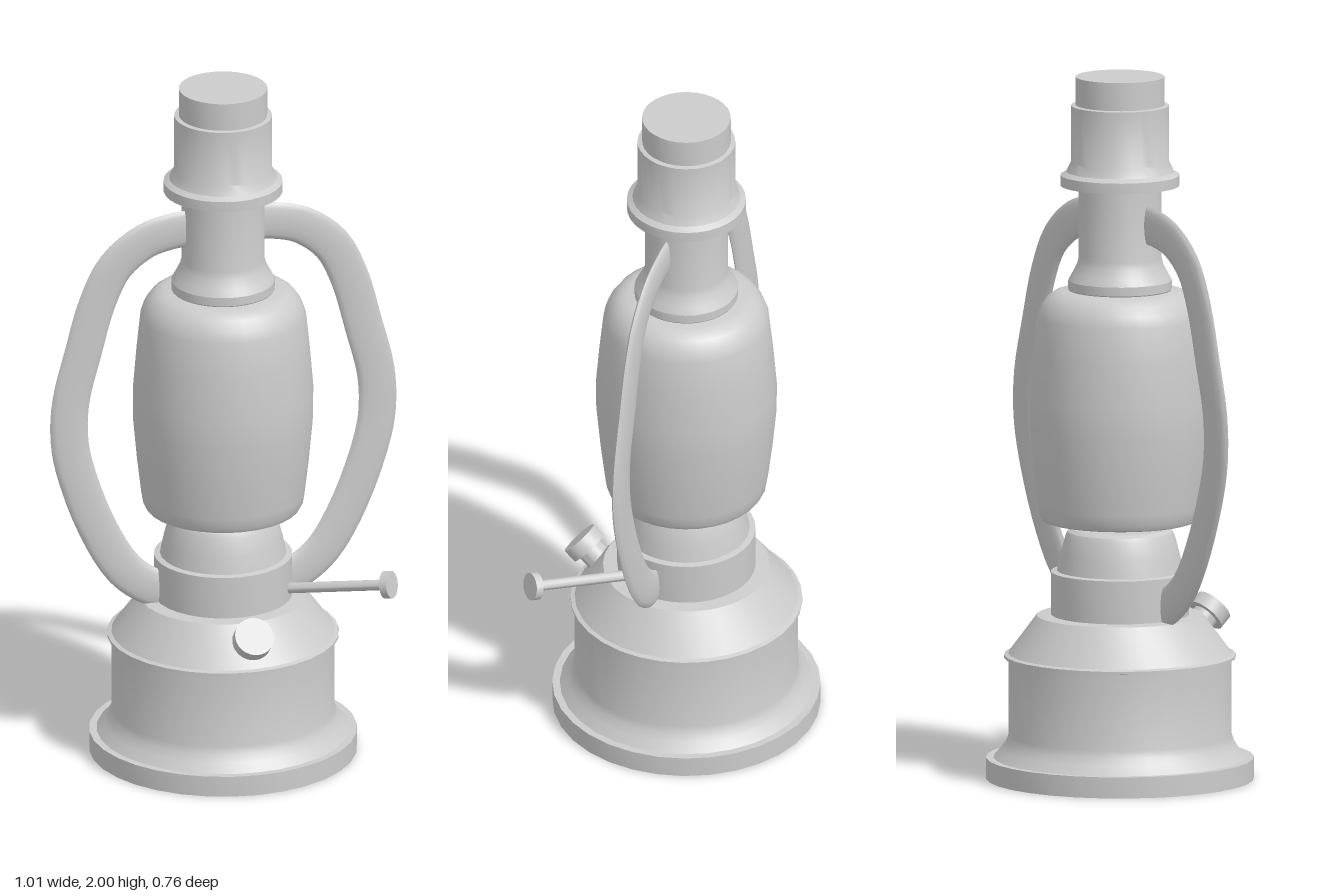
import * as THREE from 'three';
import { toCreasedNormals } from 'three/addons/utils/BufferGeometryUtils.js';

const material = new THREE.MeshStandardMaterial({ color: 0xcccccc });
const V = (x, y, z) => new THREE.Vector3(x, y, z);

function part(name, geometry) {
  const mesh = new THREE.Mesh(geometry, material);
  mesh.name = name;
  return mesh;
}

// Turned part from [radius, height] pairs, listed bottom to top
function turned(name, profile, crease = 0.5) {
  const points = profile.map(([r, y]) => new THREE.Vector2(r, y));
  return part(name, toCreasedNormals(new THREE.LatheGeometry(points, 32), crease));
}

// Turned part whose axis starts at a point and runs along a direction
function turnedAlong(name, profile, start, direction) {
  const mesh = turned(name, profile);
  mesh.position.copy(start);
  mesh.quaternion.setFromUnitVectors(V(0, 1, 0), direction.clone().normalize());
  return mesh;
}

// Flat side tube: an ellipse, wide in the xy plane and thin in z, swept along a curve
function sideTube(name, side) {
  const path = [
    [0.09, 1.59], [0.15, 1.585], [0.23, 1.562], [0.315, 1.495], [0.368, 1.39], [0.41, 1.24],
    [0.445, 1.1], [0.451, 1.0], [0.438, 0.905], [0.37, 0.71], [0.29, 0.573], [0.215, 0.515], [0.16, 0.5],
  ];
  const curve = new THREE.CatmullRomCurve3(path.map(([x, y]) => V(side * x, y, 0)));
  const steps = 48, around = 16, positions = [], index = [];
  for (let i = 0; i <= steps; i++) {
    const t = i / steps;
    const p = curve.getPoint(t), d = curve.getTangent(t);
    const z = 0.012 - 0.01 * Math.sin(Math.PI * t);
    for (let j = 0; j < around; j++) {
      const a = (j / around) * Math.PI * 2;
      const w = 0.055 * Math.cos(a);
      positions.push(p.x - d.y * w, p.y + d.x * w, z + 0.013 * Math.sin(a));
      if (i < steps) {
        const k = (j + 1) % around;
        const a0 = i * around + j, a1 = i * around + k;
        index.push(a0, a1, a0 + around, a1, a1 + around, a0 + around);
      }
    }
  }
  // End caps
  for (let j = 1; j < around - 1; j++) {
    const e = steps * around;
    index.push(0, j + 1, j, e, e + j, e + j + 1);
  }
  const geometry = new THREE.BufferGeometry();
  geometry.setAttribute('position', new THREE.Float32BufferAttribute(positions, 3));
  geometry.setIndex(index);
  return part(name, toCreasedNormals(geometry, 1.0));
}

export function createModel() {
  const lantern = new THREE.Group();
  lantern.name = 'lantern';

  // Fuel tank with foot ring, seam lip and sloped shoulder
  lantern.add(turned('fuelTank', [
    [0, 0.012], [0.355, 0.012], [0.355, 0], [0.378, 0], [0.378, 0.06], [0.357, 0.06],
    [0.335, 0.085], [0.322, 0.105], [0.315, 0.125], [0.315, 0.343], [0.327, 0.345],
    [0.327, 0.353], [0.315, 0.357], [0.235, 0.465], [0.19, 0.468],
  ]));

  // Burner and wick tube
  lantern.add(turned('burner', [
    [0.195, 0.46], [0.195, 0.59], [0.178, 0.593], [0.168, 0.64], [0.155, 0.69],
    [0.148, 0.704], [0.135, 0.712], [0, 0.713],
  ]));
  lantern.add(turned('wickTube', [[0.02, 0.7], [0.02, 0.75]]));

  // Globe
  lantern.add(turned('globe', [
    [0, 0.732], [0.205, 0.732], [0.218, 0.736], [0.226, 0.75], [0.231, 0.78], [0.243, 0.88],
    [0.254, 1.0], [0.255, 1.09], [0.245, 1.21], [0.234, 1.315], [0.224, 1.345],
    [0.205, 1.372], [0.185, 1.386], [0.165, 1.392], [0, 1.393],
  ], 0.6));

  // Chimney with its collar and stepped cap
  lantern.add(turned('chimney', [
    [0.14, 1.385], [0.146, 1.395], [0.146, 1.42], [0.135, 1.44], [0.122, 1.465],
    [0.117, 1.485], [0.117, 1.7],
  ]));
  lantern.add(turned('chimneyCap', [
    [0.11, 1.69], [0.168, 1.69], [0.168, 1.72], [0.152, 1.73], [0.14, 1.755],
    [0.138, 1.76], [0.138, 1.918], [0.125, 1.92], [0.125, 2.0], [0, 2.0],
  ]));

  // Side tubes
  lantern.add(sideTube('leftSideTube', 1), sideTube('rightSideTube', -1));

  // Filler cap on the front of the shoulder
  const fillerAxis = V(0, 0.67, 0.74).normalize();
  lantern.add(turnedAlong('fillerCap', [
    [0.038, 0], [0.038, 0.075], [0.056, 0.075], [0.056, 0.115], [0, 0.115],
  ], V(0, 0.462, 0.33).addScaledVector(fillerAxis, -0.115), fillerAxis));

  // Wick adjuster rod and its disc
  const rodStart = V(0.15, 0.5, 0.09), rodEnd = V(0.41, 0.564, 0.3);
  const length = rodStart.distanceTo(rodEnd);
  lantern.add(turnedAlong('wickKnob', [
    [0, 0], [0.015, 0], [0.015, length - 0.022], [0.039, length - 0.022], [0.039, length], [0, length],
  ], rodStart, rodEnd.clone().sub(rodStart)));

  return lantern;
}
